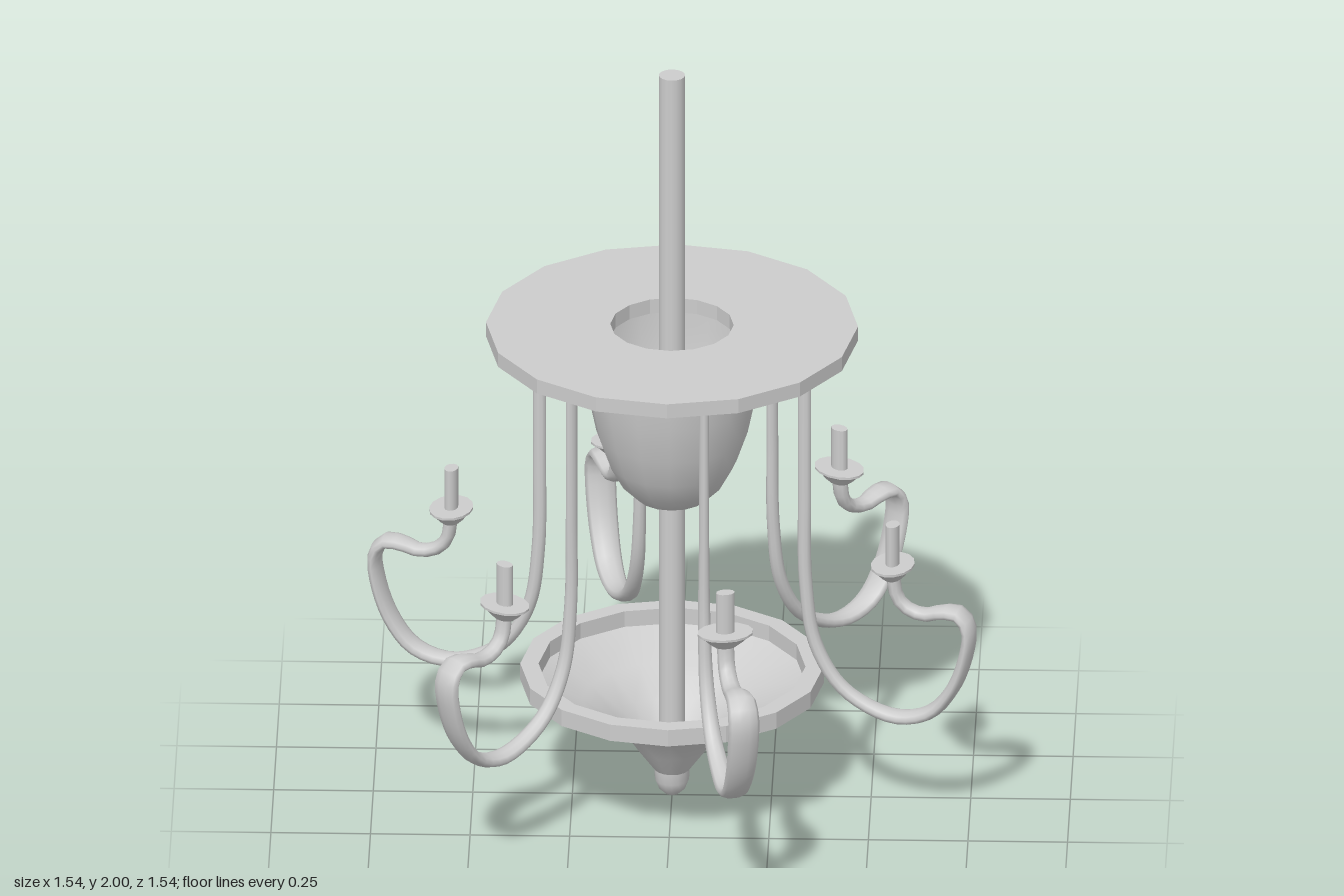
import * as THREE from 'three';
import { mergeVertices, toCreasedNormals } from 'three/addons/utils/BufferGeometryUtils.js';

const SIDES = 16;
const metal = new THREE.MeshStandardMaterial({ color: 0xcccccc, side: THREE.DoubleSide });
metal.name = 'grey metal';

function add(parent, name, geometry) {
  const mesh = new THREE.Mesh(geometry, metal);
  mesh.name = name;
  parent.add(mesh);
  return mesh;
}

// Lathe from [radius, y] pairs, listed bottom to top; crease keeps edges sharp
function turned(profile, crease, sides = SIDES) {
  const points = profile.map(([r, y]) => new THREE.Vector2(r, y));
  return toCreasedNormals(new THREE.LatheGeometry(points, sides), crease);
}

// Flat ring with a rectangular section
function ring(inner, outer, bottom, top) {
  return turned([[inner, bottom], [outer, bottom], [outer, top], [inner, top], [inner, bottom]], 0.3);
}

// Arm centre line: radius, height, half width across the arm
const ARM = [
  [0.347, 1.27, 0.0125], [0.347, 1.08, 0.0125], [0.347, 0.88, 0.013], [0.35, 0.64, 0.016],
  [0.375, 0.475, 0.019], [0.44, 0.365, 0.022], [0.53, 0.31, 0.026], [0.605, 0.298, 0.031],
  [0.68, 0.325, 0.035], [0.738, 0.40, 0.038], [0.772, 0.50, 0.04], [0.777, 0.565, 0.04],
  [0.755, 0.603, 0.038], [0.71, 0.605, 0.034], [0.665, 0.591, 0.026], [0.62, 0.60, 0.023],
  [0.59, 0.63, 0.022], [0.578, 0.70, 0.022],
];

// Tube in the radial plane, widened sideways along its length
function armGeometry() {
  const curve = new THREE.CatmullRomCurve3(ARM.map(([r, y]) => new THREE.Vector3(r, y, 0)));
  const steps = 64, around = 10, radius = 0.017;
  const geometry = new THREE.TubeGeometry(curve, steps, radius, around);
  const position = geometry.attributes.position;
  for (let i = 0; i < position.count; i++) {
    const u = Math.floor(i / (around + 1)) / steps;
    const t = curve.getUtoTmapping(u) * (ARM.length - 1);
    const k = Math.min(Math.floor(t), ARM.length - 2);
    const width = THREE.MathUtils.lerp(ARM[k][2], ARM[k + 1][2], t - k);
    position.setZ(i, position.getZ(i) * width / radius);
  }
  geometry.deleteAttribute('uv');
  geometry.deleteAttribute('normal');
  const smooth = mergeVertices(geometry);
  smooth.computeVertexNormals();
  return smooth;
}

export function createModel() {
  const chandelier = new THREE.Group();
  chandelier.name = 'chandelier';

  // Central rod
  const rod = add(chandelier, 'rod', new THREE.CylinderGeometry(0.033, 0.033, 1.8, SIDES));
  rod.position.y = 1.1;

  // Upper plate with its hanging bell
  add(chandelier, 'upperPlate', ring(0.155, 0.467, 1.268, 1.307));
  add(chandelier, 'bell', turned([
    [0, 0.81], [0.045, 0.812], [0.09, 0.832], [0.13, 0.872], [0.162, 0.93],
    [0.19, 1.01], [0.211, 1.11], [0.221, 1.2], [0.225, 1.27],
  ], 0.8));

  // Lower dish, open at the top
  add(chandelier, 'dishRim', ring(0.335, 0.381, 0.315, 0.36));
  add(chandelier, 'dish', turned([
    [0.045, 0.075], [0.09, 0.137], [0.135, 0.205], [0.225, 0.262], [0.335, 0.317],
  ], 0.8));
  add(chandelier, 'finial', turned([
    [0, 0], [0.018, 0.007], [0.034, 0.022], [0.043, 0.045], [0.045, 0.08], [0, 0.08],
  ], 0.8));

  // Six arms, each with a cup and a candle
  const armShape = armGeometry();
  const cupShape = turned([
    [0, 0.68], [0.022, 0.682], [0.035, 0.695], [0.044, 0.708], [0.054, 0.715], [0.054, 0.721], [0, 0.721],
  ], 0.7, 14);
  const candleShape = new THREE.CylinderGeometry(0.017, 0.017, 0.11, 12);
  for (let i = 0; i < 6; i++) {
    const arm = new THREE.Group();
    arm.name = 'arm' + (i + 1);
    add(arm, 'curvedArm', armShape);
    const cup = add(arm, 'cup', cupShape);
    cup.position.x = 0.578;
    cup.scale.z = 1.32;
    const candle = add(arm, 'candle', candleShape);
    candle.position.set(0.578, 0.775, 0);
    candle.scale.z = 1.4;
    arm.rotation.y = -THREE.MathUtils.degToRad(15 + 60 * i);
    chandelier.add(arm);
  }
  return chandelier;
}
